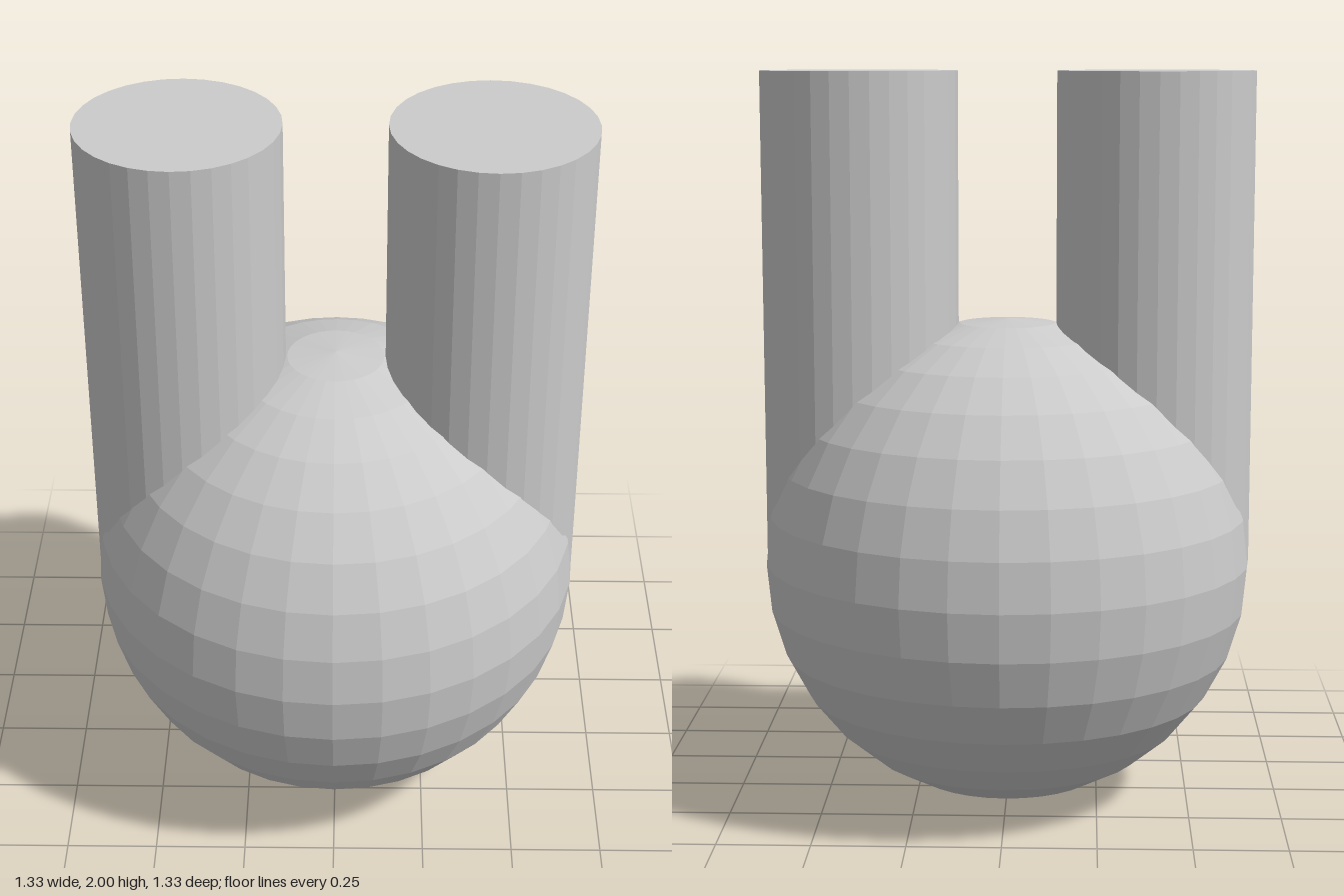
import * as THREE from 'three';

const R = 2 / 3; // body radius, also the height of its centre

export function createModel() {
  const model = new THREE.Group();
  const material = new THREE.MeshStandardMaterial({ color: 0xcccccc, flatShading: true });

  // Faceted round body resting on the ground
  const body = new THREE.Mesh(new THREE.SphereGeometry(R, 32, 16), material);
  body.name = 'body';
  body.position.y = R;
  model.add(body);

  // Two upright posts rising from the body's mid height, flush with its sides
  const postRadius = 0.4 * R;
  const postHeight = 2 - R;
  for (const side of [1, -1]) {
    const post = new THREE.Mesh(
      new THREE.CylinderGeometry(postRadius, postRadius, postHeight, 32),
      material
    );
    post.name = side > 0 ? 'leftPost' : 'rightPost';
    post.position.set(side * (R - postRadius), R + postHeight / 2, 0);
    model.add(post);
  }

  return model;
}
